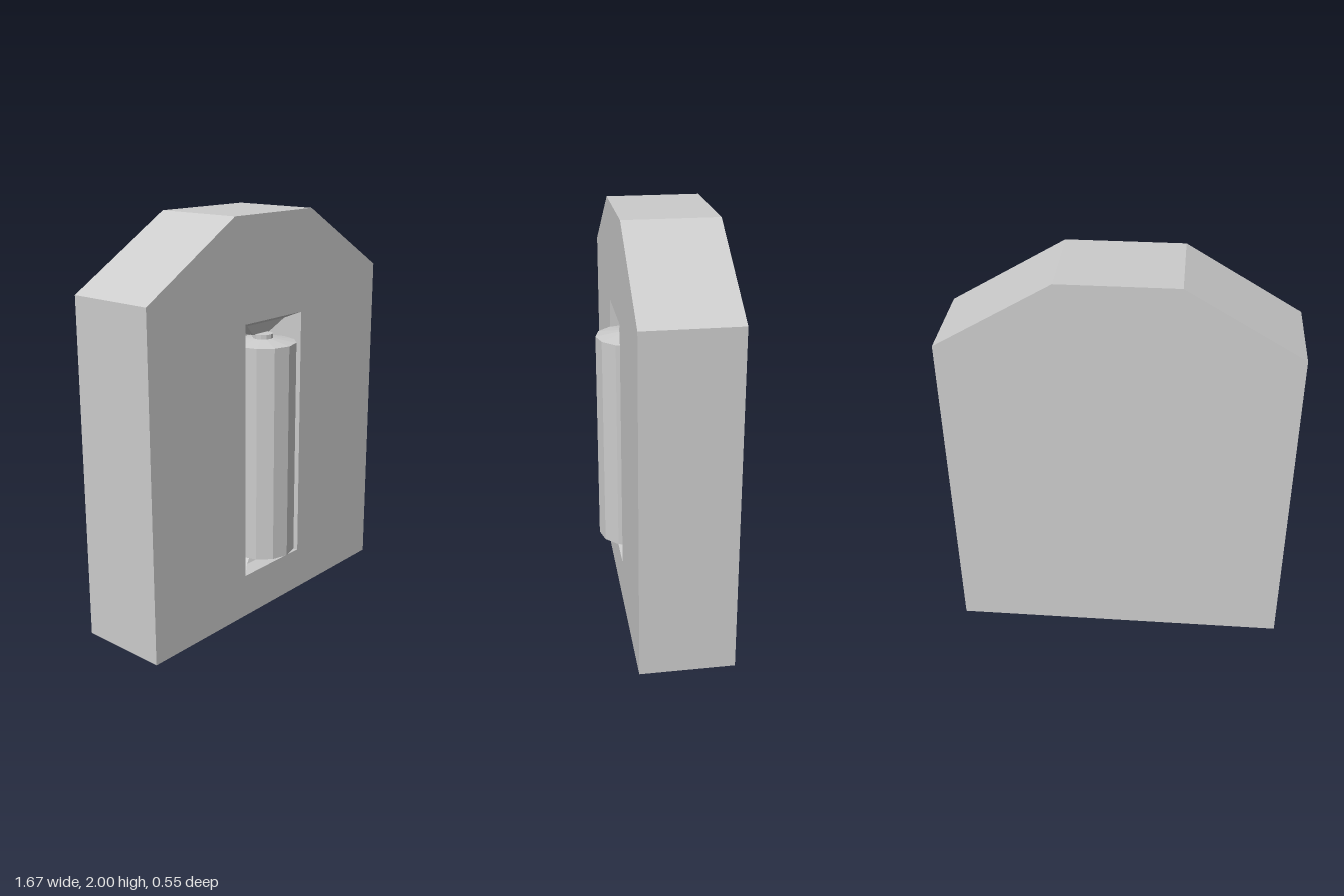
import * as THREE from 'three';

const grey = new THREE.MeshStandardMaterial({ color: 0xcccccc, flatShading: true });
const BACK = -0.275, FRONT = 0.18, NICHE_BACK = -0.06;

function add(group, name, geometry) {
  const mesh = new THREE.Mesh(geometry, grey);
  mesh.name = name;
  group.add(mesh);
  return mesh;
}

// Slab outline with clipped upper corners
function outline() {
  return new THREE.Shape([
    [-0.835, 0], [0.835, 0], [0.835, 1.67], [0.28, 2], [-0.28, 2], [-0.835, 1.67],
  ].map(([x, y]) => new THREE.Vector2(x, y)));
}

function slab(shape, z0, z1) {
  const g = new THREE.ExtrudeGeometry(shape, { depth: z1 - z0, bevelEnabled: false });
  return g.translate(0, 0, z0);
}

// Tapered bracket hanging in the niche: rings of half width, front z and y
function bracketGeometry() {
  const levels = [[0.21, 0.18, 1.5], [0.14, 0.13, 1.475], [0.06, 0.10, 1.415]];
  const pos = [], index = [];
  for (const [w, z, y] of levels) {
    pos.push(-w, y, NICHE_BACK, -w, y, z, w, y, z, w, y, NICHE_BACK);
  }
  for (let l = 0; l < levels.length - 1; l++) {
    for (let i = 0; i < 3; i++) {
      const a = l * 4 + i, b = a + 4;
      index.push(a, b, a + 1, a + 1, b, b + 1);
    }
  }
  const e = (levels.length - 1) * 4;
  index.push(e, e + 3, e + 2, e, e + 2, e + 1);
  const g = new THREE.BufferGeometry();
  g.setAttribute('position', new THREE.Float32BufferAttribute(pos, 3));
  g.setIndex(index);
  const flat = g.toNonIndexed();
  flat.computeVertexNormals();
  return flat;
}

export function createModel() {
  const model = new THREE.Group();
  model.name = 'nicheBlock';

  // Front slab with the rectangular niche, closed by a back slab
  const front = outline();
  front.holes.push(new THREE.Path([
    [-0.21, 0.22], [-0.21, 1.5], [0.21, 1.5], [0.21, 0.22],
  ].map(([x, y]) => new THREE.Vector2(x, y))));
  add(model, 'frontSlab', slab(front, NICHE_BACK, FRONT));
  add(model, 'backSlab', slab(outline(), BACK, NICHE_BACK));

  // Upper bracket and its mirror image below
  const bracket = bracketGeometry();
  add(model, 'upperBracket', bracket);
  const lower = add(model, 'lowerBracket', bracket);
  lower.scale.y = -1;
  lower.position.y = 1.72;

  // Twelve-sided roller with a shallow conical cap and neck
  const profile = [
    [0, 0.29], [0.165, 0.29], [0.165, 1.375], [0.05, 1.395], [0.05, 1.417], [0, 1.417],
  ].map(([r, y]) => new THREE.Vector2(r, y));
  add(model, 'roller', new THREE.LatheGeometry(profile, 12)).position.z = 0.11;

  return model;
}
